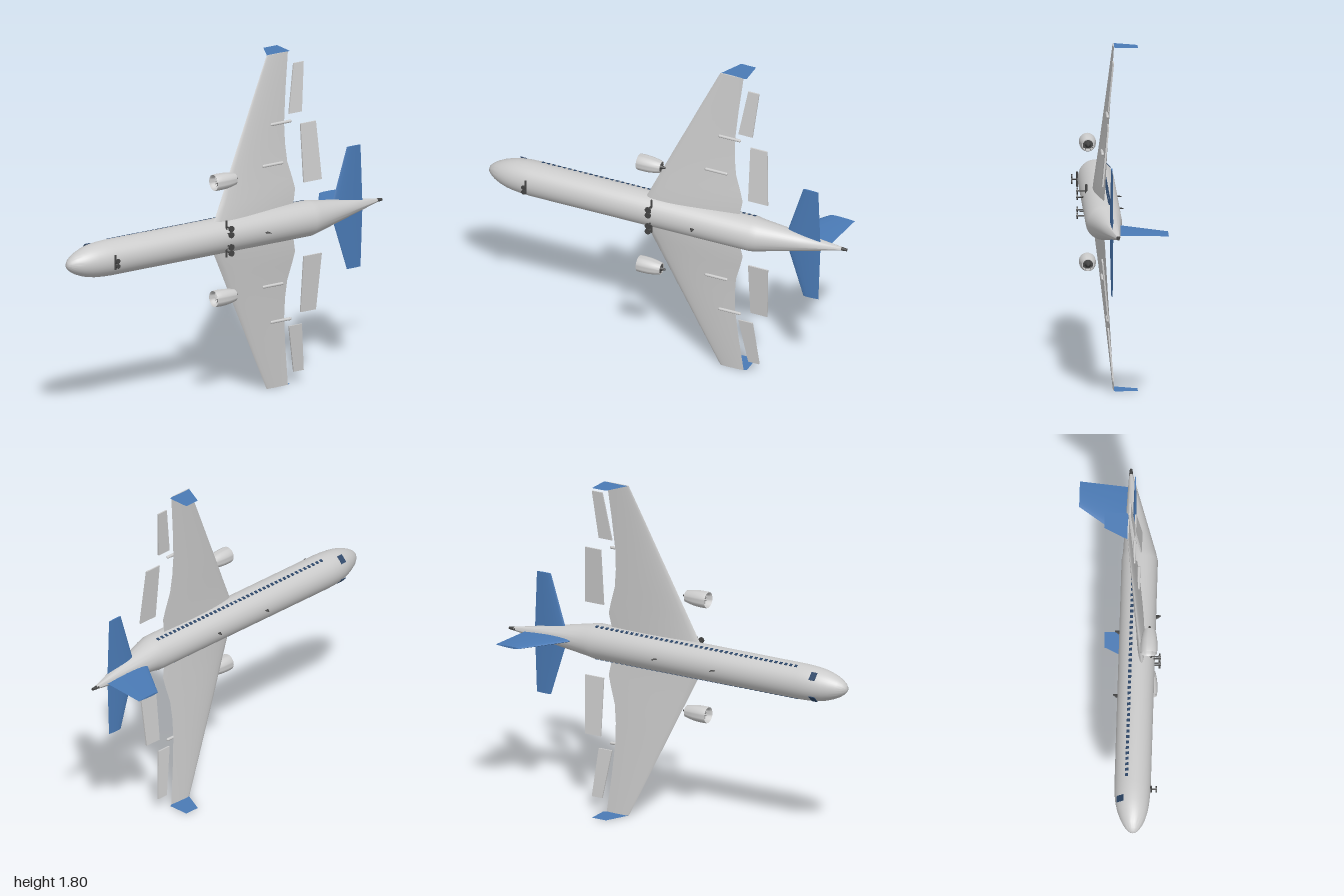
import * as THREE from 'three';
import { toCreasedNormals } from 'three/addons/utils/BufferGeometryUtils.js';

// The airliner lies with its nose to -x, its wings along y and its roof to -z.
const CY = 0.9025; // height of the centreline
const CZ = 0.092;  // depth of the fuselage axis
const R = 0.094;   // fuselage radius

const mat = (color, side = THREE.FrontSide) => new THREE.MeshStandardMaterial({ color, side });
const V = (x, y, z) => new THREE.Vector3(x, y, z);

// Closed skin through equal-sized rings of points, with capped ends
function loft(rings, crease = 0.7) {
  const n = rings[0].length, pos = [];
  const tri = (...p) => p.forEach(v => pos.push(v.x, v.y, v.z));
  for (let i = 0; i < rings.length - 1; i++) {
    for (let j = 0; j < n; j++) {
      const k = (j + 1) % n, a = rings[i], b = rings[i + 1];
      tri(a[j], b[j], b[k]);
      tri(a[j], b[k], a[k]);
    }
  }
  const first = rings[0], last = rings[rings.length - 1];
  for (let j = 1; j < n - 1; j++) {
    tri(first[0], first[j], first[j + 1]);
    tri(last[0], last[j + 1], last[j]);
  }
  // Turn every face outward, whichever way the rings ran
  let volume = 0;
  const at = i => V(pos[i], pos[i + 1], pos[i + 2]);
  for (let i = 0; i < pos.length; i += 9) volume += at(i).dot(at(i + 3).cross(at(i + 6)));
  if (volume < 0) {
    for (let i = 0; i < pos.length; i += 9) {
      for (let c = 0; c < 3; c++) [pos[i + 3 + c], pos[i + 6 + c]] = [pos[i + 6 + c], pos[i + 3 + c]];
    }
  }
  const g = new THREE.BufferGeometry();
  g.setAttribute('position', new THREE.Float32BufferAttribute(pos, 3));
  return toCreasedNormals(g, crease);
}

// Aerofoil outline: put(x, chord fraction, thickness offset) places each point
function foil(x0, x1, thick, put) {
  const N = 24, pts = [];
  for (let i = 0; i < N; i++) {
    const a = (i / N) * Math.PI * 2, c = 0.5 - 0.5 * Math.cos(a);
    const h = 1.3 * thick * Math.sqrt(c) * (1 - c) * (a < Math.PI ? 1 : -1);
    pts.push(put(x0 + (x1 - x0) * c, c, h));
  }
  return pts;
}

export function createModel() {
  const model = new THREE.Group();
  const grey = mat(0xcccccc), greyOpen = mat(0xcccccc, THREE.DoubleSide);
  const blue = mat(0x4a7ab5), blueOpen = mat(0x4a7ab5, THREE.DoubleSide);
  const dark = mat(0x444444), darkOpen = mat(0x444444, THREE.DoubleSide), glass = mat(0x2c4668);

  const add = (name, geo, material, x = 0, y = 0, z = 0, parent = model) => {
    const m = new THREE.Mesh(geo, material);
    m.name = name;
    m.position.set(x, y, z);
    parent.add(m);
    return m;
  };

  // Fuselage: x, radius, depth of ring centre
  const stations = [
    [-1, 0.003, 0.1], [-0.994, 0.018, 0.1], [-0.98, 0.033, 0.099], [-0.955, 0.05, 0.098],
    [-0.92, 0.066, 0.097], [-0.88, 0.079, 0.095], [-0.84, 0.087, 0.093], [-0.79, 0.092, CZ],
    [-0.74, R, CZ], [0.5, R, CZ], [0.54, 0.086, 0.09], [0.75, 0.049, 0.062], [0.97, 0.01, 0.033],
  ];
  add('fuselage', loft(stations.map(([x, r, z]) => Array.from({ length: 40 }, (_, i) => {
    const a = (i / 40) * Math.PI * 2;
    return V(x, CY + r * Math.cos(a), z + r * Math.sin(a));
  }))), grey);
  const exhaust = add('tailExhaust', new THREE.CylinderGeometry(0.007, 0.011, 0.04, 16), dark, 0.98, CY, 0.033);
  exhaust.rotation.z = -Math.PI / 2;

  // Tail fin
  add('tailFin', loft([[0.6, 0.9, 0.024, 0.035], [0.785, 0.925, 0.01, -0.23]].map(([a, b, t, z]) =>
    foil(a, b, t, (x, c, h) => V(x, CY + h, z)))), blue);

  // Aerials: x, depth of base, direction
  for (const [x, z, d] of [[-0.25, 0.003, -1], [0.1, 0.003, -1], [0.19, 0.183, 1]]) {
    add('aerial', loft([[x - 0.015, x + 0.013, 0.008, z], [x + 0.004, x + 0.011, 0.004, z + d * 0.027]]
      .map(([a, b, t, zz]) => foil(a, b, t, (px, c, h) => V(px, CY + h, zz)))), dark);
  }

  // Wing stations: distance out, leading x, trailing x, leading z, trailing z, thickness
  const wing = [
    [0.04, -0.12, 0.405, 0.122, 0.09, 0.044], [0.1, -0.093, 0.417, 0.118, 0.087, 0.042],
    [0.17, -0.06, 0.43, 0.111, 0.082, 0.037], [0.23, -0.032, 0.415, 0.105, 0.078, 0.033],
    [0.32, 0.01, 0.388, 0.095, 0.072, 0.028], [0.42, 0.056, 0.378, 0.085, 0.066, 0.024],
    [0.53, 0.108, 0.377, 0.074, 0.059, 0.019], [0.7, 0.187, 0.392, 0.057, 0.049, 0.013],
    [0.9025, 0.283, 0.415, 0.037, 0.037, 0.007],
  ];
  // Flaps as two ends: distance out, front x, rear x, z
  const flaps = [
    [[0.2, 0.47, 0.582, 0.1], [0.51, 0.47, 0.565, 0.07]],
    [[0.575, 0.4, 0.48, 0.067], [0.835, 0.445, 0.507, 0.043]],
  ];
  const nacelle = [
    [0.034, -0.085], [0.036, -0.11], [0.039, -0.123], [0.042, -0.125], [0.0435, -0.118],
    [0.044, -0.09], [0.0425, -0.055], [0.037, -0.02], [0.031, 0.004], [0.027, 0.004], [0.03, -0.02], [0.034, -0.085],
  ].map(p => new THREE.Vector2(...p));

  for (const s of [1, -1]) {
    const side = s > 0 ? 'left' : 'right';
    const label = part => side + part;
    const Y = d => CY + s * d;

    add(label('Wing'), loft(wing.map(([d, a, b, za, zb, t]) =>
      foil(a, b, t, (x, c, h) => V(x, Y(d), za + (zb - za) * c + h)))), grey);

    // Upright winglet plate
    const plate = new THREE.Shape([[0.285, 0.037], [0.345, -0.087], [0.43, -0.087], [0.43, 0.03], [0.415, 0.037]]
      .map(p => new THREE.Vector2(...p)));
    add(label('Winglet'), new THREE.ShapeGeometry(plate).rotateX(Math.PI / 2), blueOpen, 0, Y(0.9015), 0);

    for (const ends of flaps) {
      add(label('Flap'), loft(ends.map(([d, a, b, z]) => [
        V(a, Y(d), z - 0.004), V(b, Y(d), z - 0.004), V(b, Y(d), z + 0.004), V(a, Y(d), z + 0.004),
      ])), grey);
    }

    // Flap track fairings
    for (const [x, d, z] of [[0.285, 0.327, 0.093], [0.35, 0.535, 0.069]]) {
      const f = add(label('FlapFairing'), new THREE.CapsuleGeometry(0.008, 0.114, 6, 12), grey, x, Y(d), z);
      f.rotation.z = Math.PI / 2;
    }

    add(label('Tailplane'), loft([[0.01, 0.665, 0.862, 0.02], [0.06, 0.68, 0.86, 0.017], [0.33, 0.765, 0.85, 0.008]]
      .map(([d, a, b, t]) => foil(a, b, t, (x, c, h) => V(x, Y(d), 0.06 + h)))), blue);

    // Engine, turned so that its own y axis points aft
    const engine = new THREE.Group();
    engine.name = label('Engine');
    engine.position.set(0, Y(0.3145), 0.157);
    engine.rotation.z = -Math.PI / 2;
    model.add(engine);
    add('nacelle', toCreasedNormals(new THREE.LatheGeometry(nacelle, 32), 0.8), greyOpen, 0, 0, 0, engine);
    add('fanDisc', new THREE.CylinderGeometry(0.035, 0.035, 0.004, 24), dark, 0, -0.085, 0, engine);
    add('spinner', new THREE.ConeGeometry(0.011, 0.026, 16).rotateX(Math.PI), grey, 0, -0.1, 0, engine);
    add('exhaustCone', new THREE.CylinderGeometry(0.004, 0.019, 0.05, 16), dark, 0, 0, 0, engine);
    for (let i = 0; i < 12; i++) {
      const blade = new THREE.BoxGeometry(0.026, 0.002, 0.008).rotateX(0.6).translate(0.022, -0.094, 0);
      add('fanBlade', blade.rotateY((i / 12) * Math.PI * 2), greyOpen, 0, 0, 0, engine);
      const vane = new THREE.BoxGeometry(0.014, 0.012, 0.002).translate(0.022, -0.004, 0);
      add('exhaustVane', vane.rotateY((i / 12) * Math.PI * 2), darkOpen, 0, 0, 0, engine);
    }

    // Main landing gear
    add(label('GearStrut'), new THREE.CylinderGeometry(0.006, 0.006, 0.07, 12), dark, -0.05, Y(0.064), 0.165);
    for (const d of [0.033, 0.066]) {
      const axle = add(label('Axle'), new THREE.CylinderGeometry(0.004, 0.004, 0.055, 8), dark, -0.05, Y(d), 0.19);
      const wheel = add(label('Wheel'), new THREE.CylinderGeometry(0.016, 0.016, 0.009, 20), dark, -0.05, Y(d), 0.211);
      axle.rotation.x = wheel.rotation.x = Math.PI / 2;
    }
    const noseWheel = add(label('NoseWheel'), new THREE.CylinderGeometry(0.012, 0.012, 0.007, 20), dark, -0.755, Y(0.014), 0.215);
    noseWheel.rotation.x = Math.PI / 2;

    // Panes laid flush on the skin: x, z, ring radius, ring centre, size
    const pane = (name, x, z, r, zc, w, h) => {
      const dz = z - zc, dy = Math.sqrt(r * r - dz * dz);
      add(label(name), new THREE.BoxGeometry(w, 0.004, h), glass, x, Y(dy), z).rotation.x = Math.atan2(dz, s * dy);
    };
    for (let i = 0; i < 41; i++) pane('CabinWindow', -0.712 + i * 0.03, 0.06, R, CZ, 0.015, 0.017);
    pane('CockpitWindow', -0.833, 0.03, 0.0885, 0.093, 0.034, 0.046);
  }

  // Nose landing gear
  add('noseGearStrut', new THREE.CylinderGeometry(0.005, 0.005, 0.08, 12), dark, -0.755, CY, 0.188);
  add('noseGearLeg', new THREE.CylinderGeometry(0.004, 0.004, 0.035, 8), dark, -0.755, CY, 0.2).rotation.x = Math.PI / 2;

  return model;
}
